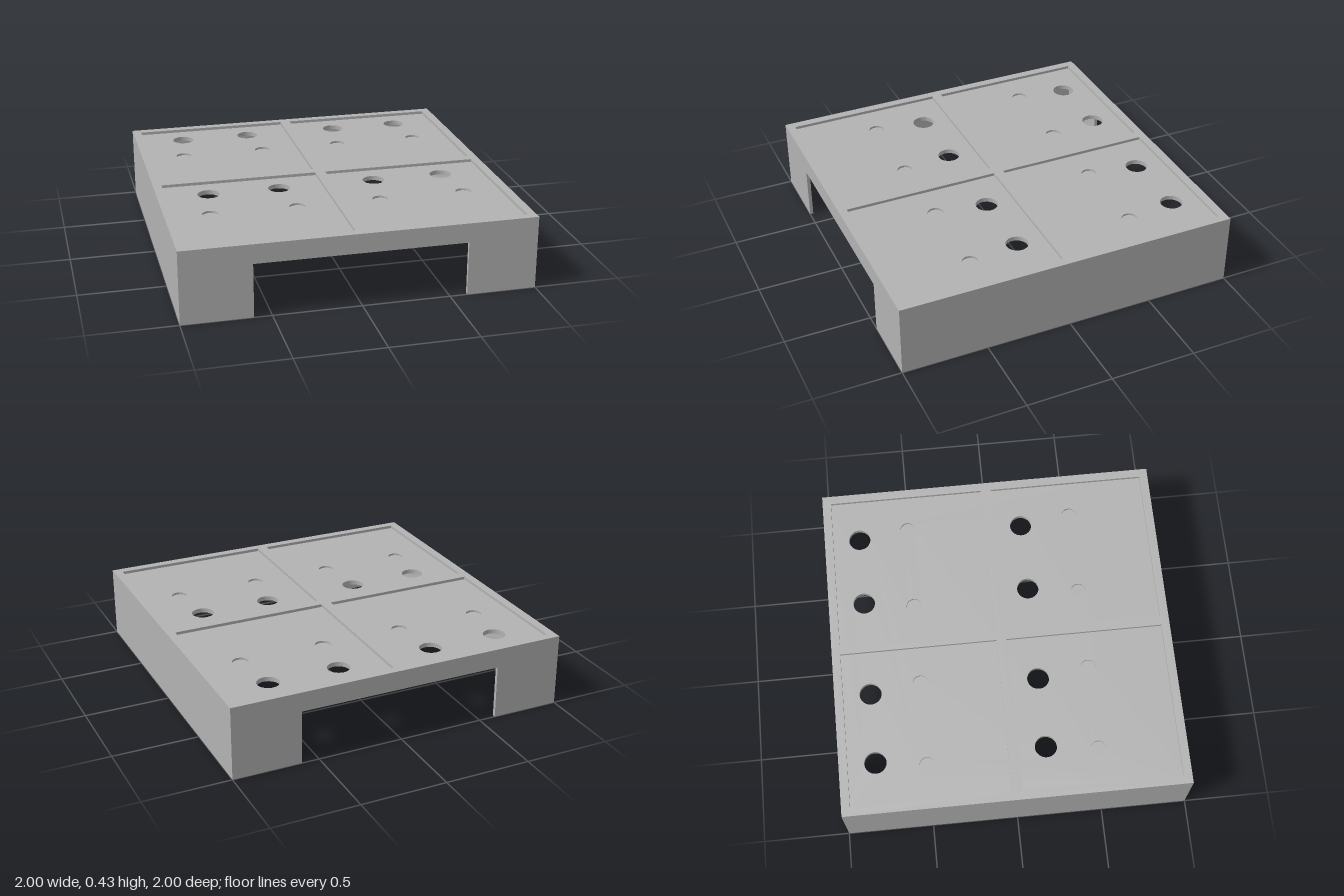
import * as THREE from 'three';

export function createModel() {
  const group = new THREE.Group();
  group.name = 'hollowTray';
  const grey = new THREE.MeshStandardMaterial({ color: 0xb2b2b2 });
  grey.name = 'grey plastic';

  const H = 0.425, CEILING = 0.382, WALL = 0.02;
  const add = (name, geometry) => {
    const mesh = new THREE.Mesh(geometry, grey);
    mesh.name = name;
    group.add(mesh);
    return mesh;
  };
  const polygon = (pts, Type = THREE.Shape) => new Type(pts.map(([x, y]) => new THREE.Vector2(x, y)));
  const rect = (x0, y0, x1, y1, Type) => polygon([[x0, y0], [x1, y0], [x1, y1], [x0, y1]], Type);
  const circle = (x, z, r) => new THREE.Path().absarc(x, -z, r, 0, Math.PI * 2, true);

  // Horizontal slab between two heights, cut from a plan outline (shape y = -z)
  const slab = (name, shape, holes, y0, y1) => {
    shape.holes.push(...holes);
    const g = new THREE.ExtrudeGeometry(shape, { depth: y1 - y0, bevelEnabled: false, curveSegments: 32 });
    g.rotateX(-Math.PI / 2);
    g.translate(0, y0, 0);
    return add(name, g);
  };

  // Hole layout: two large through-holes and two shallow blind holes per bay
  const through = () => [-0.79, 0.19].flatMap(z => [-0.7, -0.285, 0.285, 0.7].map(x => circle(x, z, 0.064)));
  const blind = () => [-0.495, 0.49].flatMap(z => [-0.74, -0.245, 0.24, 0.74].map(x => circle(x, z, 0.045)));
  const bays = [];
  for (const [x0, x1] of [[-0.95, -0.03], [0.03, 0.95]])
    for (const [y0, y1] of [[-0.95, -0.03], [0.03, 0.95]])
      bays.push(rect(x0, y0, x1, y1, THREE.Path));

  // Top plate in three layers
  const plan = () => rect(-1, -1, 1, 1);
  slab('plateBase', plan(), through(), CEILING, 0.396);
  slab('bayFloor', plan(), [...through(), ...blind()], 0.396, 0.408);
  slab('bayRims', plan(), bays, 0.408, H);

  // Side walls
  for (const s of [-1, 1]) {
    const wall = add(s > 0 ? 'leftWall' : 'rightWall', new THREE.BoxGeometry(WALL, CEILING, 2));
    wall.position.set(s * (1 - WALL / 2), CEILING / 2, 0);
  }

  // Front and back walls with a wide opening
  const e = 1 - WALL;
  const arch = polygon([[-1, 0], [-0.6, 0], [-0.6, 0.312], [0.6, 0.312], [0.6, 0], [1, 0], [1, CEILING], [-1, CEILING]]);
  const archGeometry = new THREE.ExtrudeGeometry(arch, { depth: WALL, bevelEnabled: false });
  add('frontWall', archGeometry).position.z = e;
  add('backWall', archGeometry).position.z = -1;

  // Drilled mounting tabs in the bottom corners
  for (const sx of [-1, 1])
    for (const sz of [-1, 1]) {
      const tab = slab('mountingTab', rect(-0.04, -0.04, 0.04, 0.04), [circle(0, 0, 0.018)], 0, 0.04);
      tab.position.set(sx * (e - 0.04), 0, sz * (e - 0.04));
    }

  return group;
}
